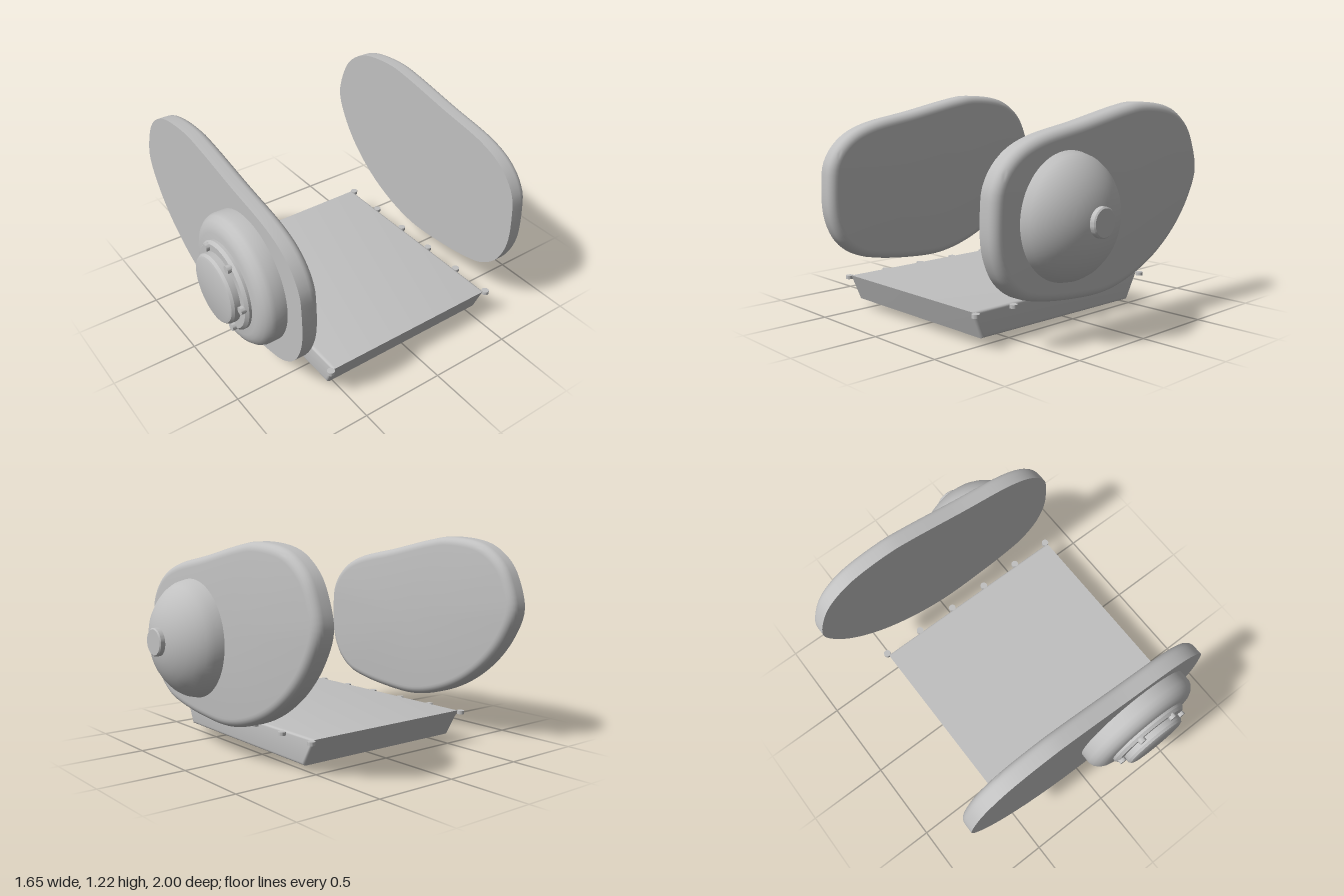
import * as THREE from 'three';
import { toCreasedNormals } from 'three/addons/utils/BufferGeometryUtils.js';

const metal = new THREE.MeshStandardMaterial({ color: 0xc0c0c0 });
metal.name = 'plain grey';

const V = (x, y) => new THREE.Vector2(x, y);

function part(parent, name, geometry, x = 0, y = 0, z = 0) {
  const mesh = new THREE.Mesh(geometry, metal);
  mesh.name = name;
  mesh.position.set(x, y, z);
  parent.add(mesh);
  return mesh;
}

// Turned part whose axis points along +z (dir 1) or -z (dir -1)
function turned(profile, dir = 1, crease = 0.6) {
  const g = new THREE.LatheGeometry(profile.map(([r, h]) => V(r, h)), 64);
  g.rotateX(dir * Math.PI / 2);
  return toCreasedNormals(g, crease);
}

// Side cover: egg-shaped outline, flat at +z, rounded over at -z
function coverGeometry(depth) {
  const outline = [
    [-0.822, 0.81], [-0.78, 0.98], [-0.72, 1.08], [-0.61, 1.165], [-0.5, 1.203], [-0.28, 1.222],
    [-0.145, 1.205], [0.2, 1.135], [0.53, 1.07], [0.67, 1.01], [0.76, 0.93], [0.81, 0.84],
    [0.822, 0.76], [0.822, 0.56], [0.79, 0.445], [0.735, 0.355], [0.63, 0.275], [0.49, 0.235],
    [0.23, 0.202], [0, 0.197], [-0.21, 0.24], [-0.43, 0.335], [-0.63, 0.485], [-0.76, 0.65],
  ].reverse().map(([x, y]) => new THREE.Vector3(x, y, 0));
  const curve = new THREE.CatmullRomCurve3(outline, true, 'centripetal');
  const n = 120, round = 0.05;
  const rings = [[0, depth / 2]];
  for (let i = 0; i <= 6; i++) {
    const a = (i / 6) * Math.PI / 2;
    rings.push([round * (1 - Math.cos(a)), -depth / 2 + round * (1 - Math.sin(a))]);
  }
  const pos = [], index = [];
  for (const [inset, z] of rings) {
    for (let i = 0; i < n; i++) {
      const p = curve.getPointAt(i / n), t = curve.getTangentAt(i / n);
      pos.push(p.x - t.y * inset, p.y + t.x * inset, z);
    }
  }
  const last = (rings.length - 1) * n, front = rings.length * n, back = front + 1;
  pos.push(0.05, 0.7, depth / 2, 0.05, 0.7, -depth / 2);
  for (let i = 0; i < n; i++) {
    const j = (i + 1) % n;
    for (let k = 0; k < last; k += n) {
      index.push(k + i, k + n + i, k + j, k + j, k + n + i, k + n + j);
    }
    index.push(front, i, j, back, last + j, last + i);
  }
  const g = new THREE.BufferGeometry();
  g.setAttribute('position', new THREE.Float32BufferAttribute(pos, 3));
  g.setIndex(index);
  return toCreasedNormals(g, 0.6);
}

export function createModel() {
  const model = new THREE.Group();
  model.name = 'engineCovers';

  // Two matching side covers
  const cover = coverGeometry(0.11);
  part(model, 'frontCover', cover, 0, 0, 0.725);
  part(model, 'rearCover', cover, 0, 0, -0.695);

  // Front hub: rounded drum, stepped flange and round cap
  const hub = new THREE.Group();
  hub.name = 'frontHub';
  hub.position.set(0.325, 0.655, 0.775);
  model.add(hub);
  part(hub, 'drum', turned([
    [0.37, 0], [0.371, 0.07], [0.362, 0.095], [0.342, 0.118], [0.315, 0.133], [0.285, 0.14], [0, 0.14],
  ]));
  part(hub, 'flange', turned([[0.25, 0.13], [0.25, 0.155], [0.235, 0.172], [0, 0.172]], 1, 0.4));
  part(hub, 'cap', turned([[0.195, 0.165], [0.195, 0.205], [0.185, 0.22], [0.17, 0.225], [0, 0.225]], 1, 0.4));
  const bolt = toCreasedNormals(new THREE.CylinderGeometry(0.022, 0.022, 0.03, 20), 0.6);
  const hubBolt = bolt.clone().rotateX(Math.PI / 2);
  for (let i = 0; i < 6; i++) {
    const a = i * Math.PI / 3;
    part(hub, 'hubBolt', hubBolt, 0.22 * Math.cos(a), 0.22 * Math.sin(a), 0.178);
  }

  // Rear dome with a small button at its tip
  const dome = new THREE.Group();
  dome.name = 'rearDome';
  dome.position.set(0.322, 0.657, -0.745);
  model.add(dome);
  part(dome, 'domeShell', turned([
    [0.342, 0], [0.328, 0.055], [0.305, 0.095], [0.27, 0.133], [0.225, 0.168],
    [0.17, 0.197], [0.11, 0.218], [0.05, 0.228], [0, 0.23],
  ], -1));
  part(dome, 'domeButton', turned([[0.08, 0.2], [0.08, 0.248], [0.073, 0.255], [0, 0.255]], -1, 0.4));

  // Oil pan: tapered tray with softened edges
  const b = 0.018;
  const tray = new THREE.Shape([V(-0.44, 0.04), V(0.72, 0.05), V(0.782, 0.2), V(-0.53, 0.2)]);
  const pan = new THREE.ExtrudeGeometry(tray, {
    depth: 1.1 - 2 * b, bevelEnabled: true, bevelThickness: b, bevelSize: b, bevelOffset: -b, bevelSegments: 4,
  });
  part(model, 'oilPan', toCreasedNormals(pan, 0.6), 0, 0, -0.538 + b);

  // Rows of bolts along both long edges of the pan
  const panBolt = toCreasedNormals(new THREE.CylinderGeometry(0.022, 0.022, 0.02, 20), 0.6);
  for (const z of [-0.553, 0.575]) {
    for (let i = 0; i < 6; i++) part(model, 'panBolt', panBolt, -0.53 + i * 0.2615, 0.186, z);
  }

  // Hexagonal drain plug under the pan
  const plug = new THREE.CylinderGeometry(0.05, 0.05, 0.06, 6).rotateY(Math.PI / 6);
  part(model, 'drainPlug', toCreasedNormals(plug, 0.4), 0.125, 0.03, 0.015);

  return model;
}
